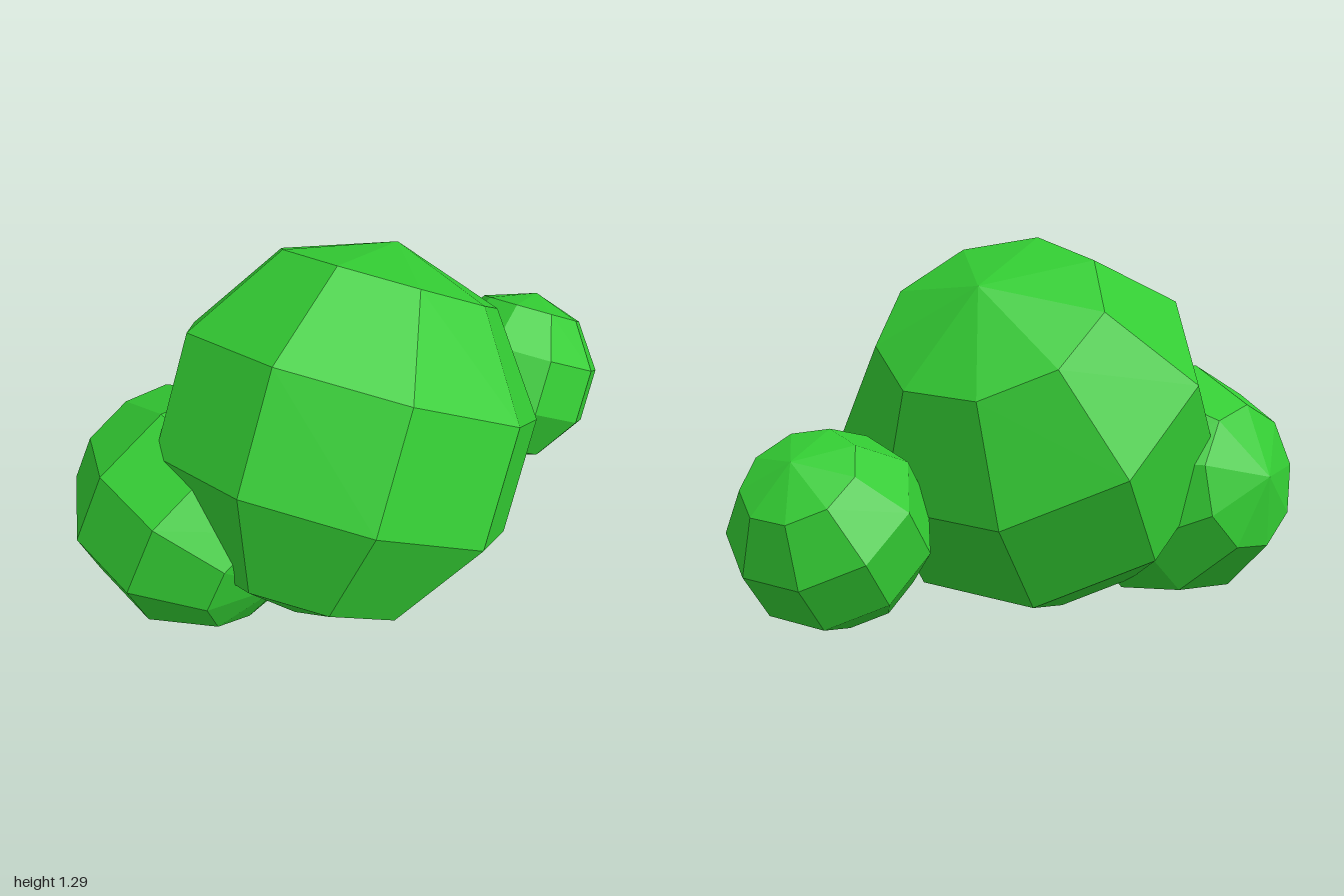
import * as THREE from 'three';

const leaf = new THREE.MeshStandardMaterial({ color: 0x33cc33, flatShading: true });
const ball = new THREE.SphereGeometry(1, 9, 5);

// One faceted clump: its pole points along axis, one column of corners towards side
function clump(name, radius, center, axis, side) {
  const mesh = new THREE.Mesh(ball, leaf);
  const y = new THREE.Vector3(...axis).normalize();
  const f = new THREE.Vector3(...side);
  f.addScaledVector(y, -f.dot(y)).normalize();
  const x = f.negate();
  const z = new THREE.Vector3().crossVectors(x, y);
  mesh.quaternion.setFromRotationMatrix(new THREE.Matrix4().makeBasis(x, y, z));
  mesh.position.set(...center);
  mesh.scale.setScalar(radius);
  mesh.name = name;
  return mesh;
}

export function createModel() {
  const bush = new THREE.Group();
  bush.name = 'bush';
  const tilt = [-0.2175, 0.837, -0.502];
  const turn = [0.128, 0.207, 0.29];
  bush.add(
    clump('mainClump', 0.647, [0, 0.648, 0.125], tilt, turn),
    clump('backClump', 0.318, [-0.07, 0.48, -0.705], tilt, turn),
    clump('frontClump', 0.42, [-0.215, 0.42, 0.586], [0.953, -0.257, -0.15], [0.145, -0.039, 0.988]),
  );
  return bush;
}
